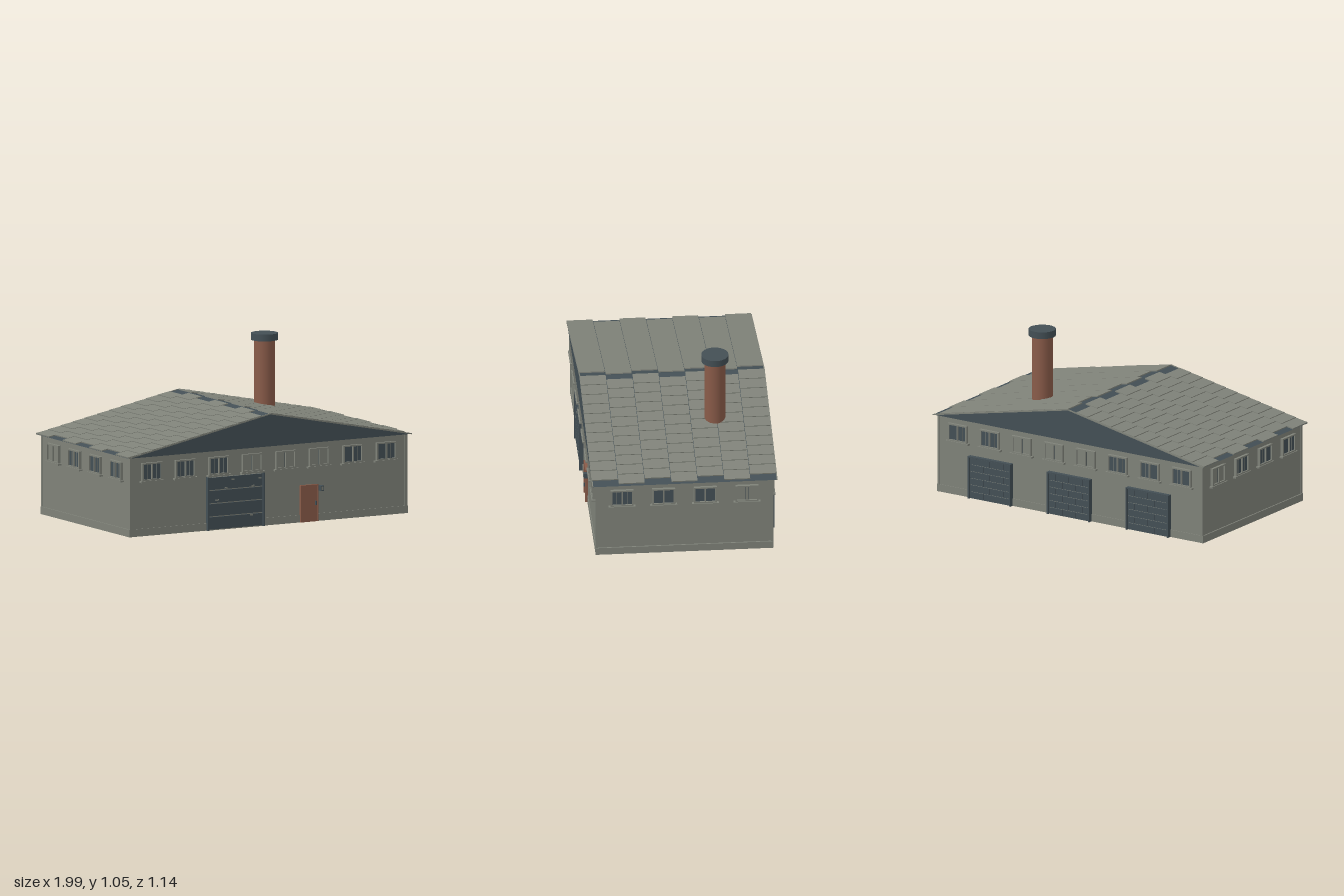
import * as THREE from 'three';
import { mergeGeometries } from 'three/addons/utils/BufferGeometryUtils.js';

const mat = (name, color) => {
  const m = new THREE.MeshStandardMaterial({ color });
  m.name = name;
  return m;
};

export function createModel() {
  const root = new THREE.Group();
  root.name = 'warehouse';
  const grey = mat('concrete grey', 0x7f8279);
  const dark = mat('slate blue', 0x434f55);
  const brick = mat('brick red', 0x895b49);

  const add = (parent, name, geo, material, x = 0, y = 0, z = 0) => {
    const m = new THREE.Mesh(geo, material);
    m.name = name;
    m.position.set(x, y, z);
    parent.add(m);
    return m;
  };
  const box = (parent, name, material, w, h, d, x, y, z) =>
    add(parent, name, new THREE.BoxGeometry(w, h, d), material, x, y, z);
  // Group on a wall: local +z points outwards, local y is height
  const onWall = (name, x, z, turn) => {
    const g = new THREE.Group();
    g.name = name;
    g.position.set(x, 0, z);
    g.rotation.y = turn;
    root.add(g);
    return g;
  };

  // Walls and plinth
  box(root, 'walls', grey, 1.94, 0.49, 1.074, 0, 0.245, 0);
  box(root, 'plinth', grey, 1.956, 0.046, 1.084, 0, 0.023, 0);
  for (const sx of [-1, 1]) for (const sz of [-1, 1])
    box(root, 'cornerPost', grey, 0.016, 0.49, 0.016, sx * 0.966, 0.245, sz * 0.535);

  // Roof body with dark gables
  const gable = new THREE.Shape();
  gable.moveTo(-0.995, 0.488);
  gable.lineTo(0.995, 0.488);
  gable.lineTo(0, 0.687);
  const roofGeo = new THREE.ExtrudeGeometry(gable, { depth: 1.122, bevelEnabled: false });
  add(root, 'roofBody', roofGeo, dark, 0, 0, -0.561);

  // Staggered roof tiles in seven bands, each tipped slightly to overlap
  const slope = Math.atan2(0.199, 0.995), pitch = 0.0855 / Math.cos(slope);
  for (const side of [-1, 1]) {
    const tiles = [];
    for (let band = 0; band < 7; band++) {
      const start = side > 0 ? [0.002, 0.042][band % 2] : [0.058, 0.016][band % 2];
      for (let i = 0; i < 11; i++) {
        const t = new THREE.BoxGeometry(pitch - 0.003, 0.007, 0.158);
        t.rotateZ(side * 0.03);
        t.translate(side * (start + (i + 0.5) * pitch), 0.0045, (band - 3) * 0.161);
        tiles.push(t);
      }
    }
    const m = add(root, side > 0 ? 'roofTilesLeft' : 'roofTilesRight', mergeGeometries(tiles), grey, 0, 0.687, 0);
    m.rotation.z = -side * slope;
  }
  // Thin pale rims along the gable edges
  for (const side of [-1, 1]) for (const z of [-0.564, 0.561]) {
    const rim = box(root, 'gableRim', grey, 1.014, 0.007, 0.006, side * 0.4975, 0.5885, z);
    rim.rotation.z = -side * slope;
  }

  // Chimney
  add(root, 'chimney', new THREE.CylinderGeometry(0.064, 0.064, 0.47, 24), brick, 0.416, 0.785, -0.23);
  add(root, 'chimneyCap', new THREE.CylinderGeometry(0.083, 0.083, 0.042, 24), dark, 0.416, 1.029, -0.23);

  // Two-pane window with frame, mullion and sill
  const frameShape = new THREE.Shape();
  frameShape.moveTo(-0.07, -0.055);
  frameShape.lineTo(0.07, -0.055);
  frameShape.lineTo(0.07, 0.055);
  frameShape.lineTo(-0.07, 0.055);
  for (const s of [-1, 1]) {
    const a = s > 0 ? 0.004 : -0.06, b = a + 0.056;
    const hole = new THREE.Path();
    hole.moveTo(a, -0.046);
    hole.lineTo(a, 0.046);
    hole.lineTo(b, 0.046);
    hole.lineTo(b, -0.046);
    frameShape.holes.push(hole);
  }
  const frameGeo = new THREE.ExtrudeGeometry(frameShape, { depth: 0.018, bevelEnabled: false });
  const addWindow = (x, z, turn, pale) => {
    const g = onWall('window', x, z, turn);
    add(g, 'windowFrame', frameGeo, grey, 0, 0.395, 0);
    box(g, 'windowGlass', pale ? grey : dark, 0.124, 0.096, 0.008, 0, 0.395, 0.004);
    if (!pale) for (const s of [-1, 1])
      box(g, 'glazingBar', grey, 0.0015, 0.092, 0.004, s * 0.032, 0.395, 0.008);
    else for (const s of [-1, 1])
      box(g, 'paneEdge', dark, 0.002, 0.092, 0.004, s * 0.007, 0.395, 0.008);
    box(g, 'windowSill', grey, 0.164, 0.011, 0.024, 0, 0.335, 0.012);
  };
  for (let i = 0; i < 8; i++) {
    const x = (i - 3.5) * 0.235, pale = i >= 3 && i <= 5;
    addWindow(x, 0.537, 0, pale);
    addWindow(x, -0.537, Math.PI, pale);
  }
  for (let i = 0; i < 4; i++) {
    const z = (1.5 - i) * 0.254;
    addWindow(0.97, z, Math.PI / 2, i === 3);
    addWindow(-0.97, z, -Math.PI / 2, i === 3);
  }

  // Front loading door: broad slats on a pale backing, with a few chips
  const gate = onWall('loadingDoor', -0.238, 0.537, 0);
  box(gate, 'doorBacking', grey, 0.384, 0.325, 0.012, 0, 0.1625, 0.006);
  for (let i = 0; i < 4; i++)
    box(gate, 'doorSlat', dark, 0.38, 0.075, 0.018, 0, 0.044 + i * 0.081, 0.009);
  for (const s of [-1, 1])
    box(gate, 'doorPost', dark, 0.01, 0.33, 0.026, s * 0.194, 0.165, 0.013);
  for (const [x, y] of [[-0.07, 0.255], [0.12, 0.255], [-0.13, 0.185], [0.11, 0.076], [-0.02, 0.305], [0.17, 0.3]])
    box(gate, 'chip', grey, 0.022, 0.009, 0.004, x, y, 0.018);

  // Three rear loading doors with staggered panels
  for (const x of [0.58, 0, -0.58]) {
    const g = onWall('rearDoor', x, -0.537, Math.PI);
    box(g, 'rearDoorBacking', grey, 0.3, 0.262, 0.014, 0, 0.131, 0.007);
    for (let r = 0; r < 6; r++) {
      const cuts = r % 2 ? [-0.147, -0.098, 0, 0.098, 0.147] : [-0.147, -0.049, 0.049, 0.147];
      for (let c = 0; c + 1 < cuts.length; c++)
        box(g, 'rearDoorPanel', dark, cuts[c + 1] - cuts[c] - 0.003, 0.039, 0.02,
          (cuts[c] + cuts[c + 1]) / 2, 0.022 + r * 0.043, 0.01);
    }
    for (const s of [-1, 1])
      box(g, 'rearDoorPost', dark, 0.01, 0.266, 0.03, s * 0.152, 0.133, 0.015);
    box(g, 'rearDoorLintel', dark, 0.314, 0.008, 0.028, 0, 0.264, 0.014);
  }

  // Entrance door with frame, handle and wall box
  const door = onWall('entranceDoor', 0.282, 0.537, 0);
  box(door, 'doorLeaf', brick, 0.112, 0.222, 0.012, 0, 0.111, 0.006);
  for (const s of [-1, 1])
    box(door, 'doorJamb', brick, 0.008, 0.226, 0.018, s * 0.057, 0.113, 0.009);
  box(door, 'doorHead', brick, 0.122, 0.008, 0.018, 0, 0.224, 0.009);
  box(door, 'doorHandle', dark, 0.006, 0.025, 0.022, 0.041, 0.114, 0.017);
  box(door, 'wallBox', dark, 0.024, 0.032, 0.03, 0.082, 0.202, 0.015);
  box(door, 'wallBoxFace', grey, 0.014, 0.022, 0.004, 0.082, 0.202, 0.03);

  return root;
}
